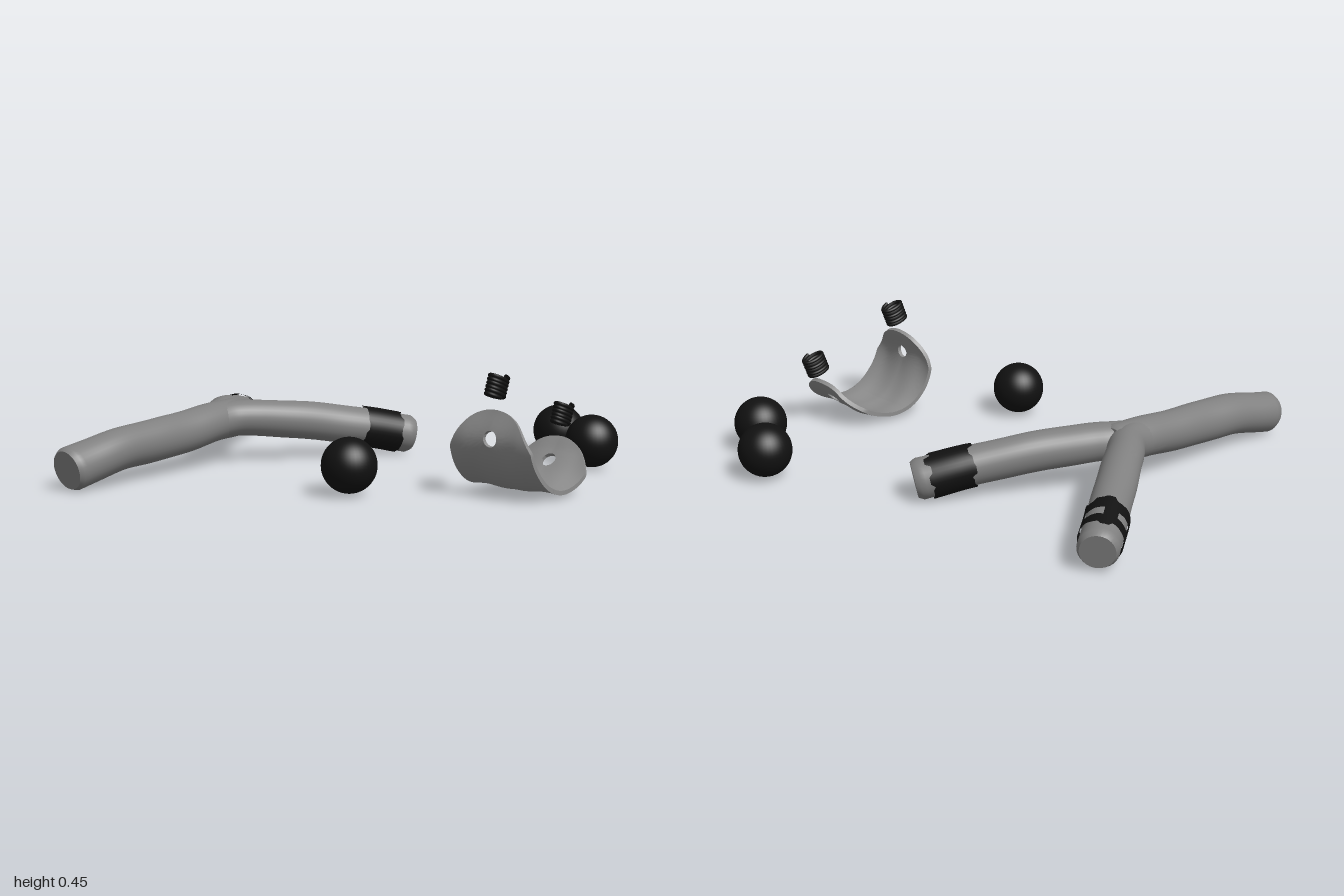
import * as THREE from 'three';
import { toCreasedNormals } from 'three/addons/utils/BufferGeometryUtils.js';

const V = (x, y, z) => new THREE.Vector3(x, y, z);
const WOOD = new THREE.MeshStandardMaterial({ color: 0x808080 });
const LEATHER = new THREE.MeshStandardMaterial({ color: 0x8c8c8c, side: THREE.DoubleSide });
const BLACK = new THREE.MeshStandardMaterial({ color: 0x111111, side: THREE.DoubleSide });

function add(parent, name, geometry, material) {
  const mesh = new THREE.Mesh(geometry, material);
  mesh.name = name;
  parent.add(mesh);
  return mesh;
}

// Skins a list of rings that all have the same number of points
function skin(rings, keep = () => true, crease = 0.8) {
  const n = rings[0].length;
  const pos = rings.flat().flatMap((p) => [p.x, p.y, p.z]);
  const index = [];
  for (let i = 0; i < rings.length - 1; i++) {
    for (let j = 0; j < n; j++) {
      if (!keep(i, j)) continue;
      const a = i * n + j, b = i * n + ((j + 1) % n);
      index.push(a, b, b + n, a, b + n, a + n);
    }
  }
  const geo = new THREE.BufferGeometry();
  geo.setAttribute('position', new THREE.Float32BufferAttribute(pos, 3));
  geo.setIndex(index);
  return toCreasedNormals(geo, crease);
}

// A branch: a curve plus a slightly uneven radius
const SIDES = 32, STEPS = 50;
function makeBranch(points, r0, r1) {
  const curve = new THREE.CatmullRomCurve3(points);
  const frames = curve.computeFrenetFrames(200);
  const at = (t, angle, scale = 1, lift = 0) => {
    const k = Math.round(THREE.MathUtils.clamp(t, 0, 1) * 200);
    const wobble = 1 + 0.02 * Math.sin(9 * t + 2 * angle) + 0.012 * Math.sin(23 * t + angle);
    const r = THREE.MathUtils.lerp(r0, r1, t) * wobble * scale + lift;
    return curve.getPointAt(k / 200)
      .addScaledVector(frames.normals[k], r * Math.cos(angle))
      .addScaledVector(frames.binormals[k], r * Math.sin(angle));
  };
  const ring = (t, scale) => Array.from({ length: SIDES },
    (_, j) => at(t, (j / SIDES) * Math.PI * 2, scale));
  const rings = [ring(0, 0), ring(0, 0.88)];
  for (let i = 1; i < STEPS; i++) rings.push(ring(i / STEPS, 1));
  rings.push(ring(1, 0.85), ring(1, 0));
  return { at, geometry: skin(rings) };
}

// Tape sleeve with ragged ends; gap leaves open patches along its middle
function tape(branch, t0, t1, seed, gap) {
  const n = 40, rows = 12;
  const ragged = (j, s) => 0.024 * (Math.abs(Math.sin(Math.floor(j / 3) * 12.9 + s) * 43.7) % 1);
  const rings = [];
  for (let i = 0; i <= rows; i++) {
    rings.push(Array.from({ length: n }, (_, j) => {
      const t = THREE.MathUtils.lerp(t0 + ragged(j, seed), t1 - ragged(j, seed + 5), i / rows);
      return branch.at(t, (j / n) * Math.PI * 2, 1, 0.007);
    }));
  }
  const keep = (i, j) => !(gap && i > 4 && i < 8 && j % 10 < 6);
  return skin(rings, keep);
}

// Curved pouch: each half is a sheet running from its hole to its outline
function makePouch() {
  const profile = new THREE.CatmullRomCurve3([
    [0.02, 0.325], [0.055, 0.22], [0.03, 0.13], [-0.04, 0.055], [-0.13, 0.03],
    [-0.24, 0.06], [-0.32, 0.13], [-0.36, 0.185]].map(([z, y]) => V(0, y, z)));
  const length = profile.getLength();
  const place = (s, x, off) => {
    const u = THREE.MathUtils.clamp(s / length, 0, 1);
    const t = profile.getTangentAt(u);
    const wave = 0.006 * Math.sin(x * 25 + u * 9) * Math.min(1, Math.abs(x) * 9);
    const p = profile.getPointAt(u).addScaledVector(V(0, -t.z, t.y), off + wave);
    p.x = 0.8 + 0.025 * u + x;
    return p;
  };
  const group = new THREE.Group();
  group.name = 'pouch';
  for (const front of [true, false]) {
    // outline of one half: s runs inward from the rounded end
    const w = 0.172, half = length / 2;
    const outline = new THREE.Shape();
    outline.moveTo(half, -w);
    outline.lineTo(0.14, -w);
    outline.bezierCurveTo(0.08, -0.14, 0, -0.09, 0, 0);
    outline.bezierCurveTo(0, 0.09, 0.08, 0.14, 0.14, w);
    outline.lineTo(half, w);
    outline.closePath();
    const edge = outline.getSpacedPoints(96).slice(0, 96);
    const hole = new THREE.Vector2(0.105, 0);
    const layer = (k, off) => edge.map((e) => {
      const d = e.clone().sub(hole);
      const rim = hole.clone().addScaledVector(d.clone().normalize(), 0.028);
      const q = rim.lerp(e, k);
      return place(front ? q.x : length - q.x, q.y, off);
    });
    const rings = [];
    for (let i = 0; i <= 10; i++) rings.push(layer(i / 10, 0.008));
    for (let i = 10; i >= 0; i--) rings.push(layer(i / 10, -0.008));
    rings.push(layer(0, 0.008));
    add(group, front ? 'frontHalf' : 'backHalf', skin(rings, undefined, 0.9), LEATHER);
  }
  return group;
}

// Oval coil of cord, axis along y
class Coil extends THREE.Curve {
  getPoint(t, target = new THREE.Vector3()) {
    const a = t * Math.PI * 2 * 6;
    return target.set(0.027 * Math.cos(a), (t - 0.5) * 0.08, 0.043 * Math.sin(a));
  }
}

export function createModel() {
  const model = new THREE.Group();

  // Forked stick
  const stick = new THREE.Group();
  stick.name = 'forkedStick';
  model.add(stick);
  const handle = makeBranch([V(-0.445, 0.085, 0.925), V(-0.437, 0.13, 0.7), V(-0.44, 0.15, 0.4),
    V(-0.447, 0.175, 0.16), V(-0.45, 0.18, 0.04)], 0.082, 0.078);
  const rightFork = makeBranch([V(-0.447, 0.163, 0.3), V(-0.475, 0.18, 0.1), V(-0.55, 0.178, 0),
    V(-0.7, 0.145, -0.2), V(-0.82, 0.112, -0.36), V(-0.92, 0.085, -0.495)], 0.07, 0.075);
  const leftFork = makeBranch([V(-0.447, 0.163, 0.3), V(-0.43, 0.18, 0.1), V(-0.37, 0.178, 0),
    V(-0.25, 0.155, -0.2), V(-0.13, 0.118, -0.4), V(-0.03, 0.08, -0.56)], 0.07, 0.078);
  add(stick, 'handle', handle.geometry, WOOD);
  add(stick, 'rightFork', rightFork.geometry, WOOD);
  add(stick, 'leftFork', leftFork.geometry, WOOD);

  // Tape around the fork tips
  add(model, 'rightTape', tape(rightFork, 0.765, 0.95, 1, true), BLACK);
  add(model, 'leftTape', tape(leftFork, 0.765, 0.95, 3, false), BLACK);

  // Pouch and its two cord coils
  model.add(makePouch());
  const coilGeo = new THREE.TubeGeometry(new Coil(), 240, 0.007, 8);
  [['frontCoil', 0.787, 0.406, -0.003], ['backCoil', 0.813, 0.266, -0.387]].forEach(([name, x, y, z]) => {
    const coil = add(model, name, coilGeo, BLACK);
    coil.position.set(x, y, z);
    coil.rotation.x = -0.37;
  });

  // Round shots
  const ball = new THREE.SphereGeometry(0.102, 40, 28);
  [[0.37, 0.31], [0.5, -0.85], [0.745, -0.705]].forEach(([x, z], i) => {
    add(model, 'ball' + (i + 1), ball, BLACK).position.set(x, 0.117, z);
  });
  return model;
}
